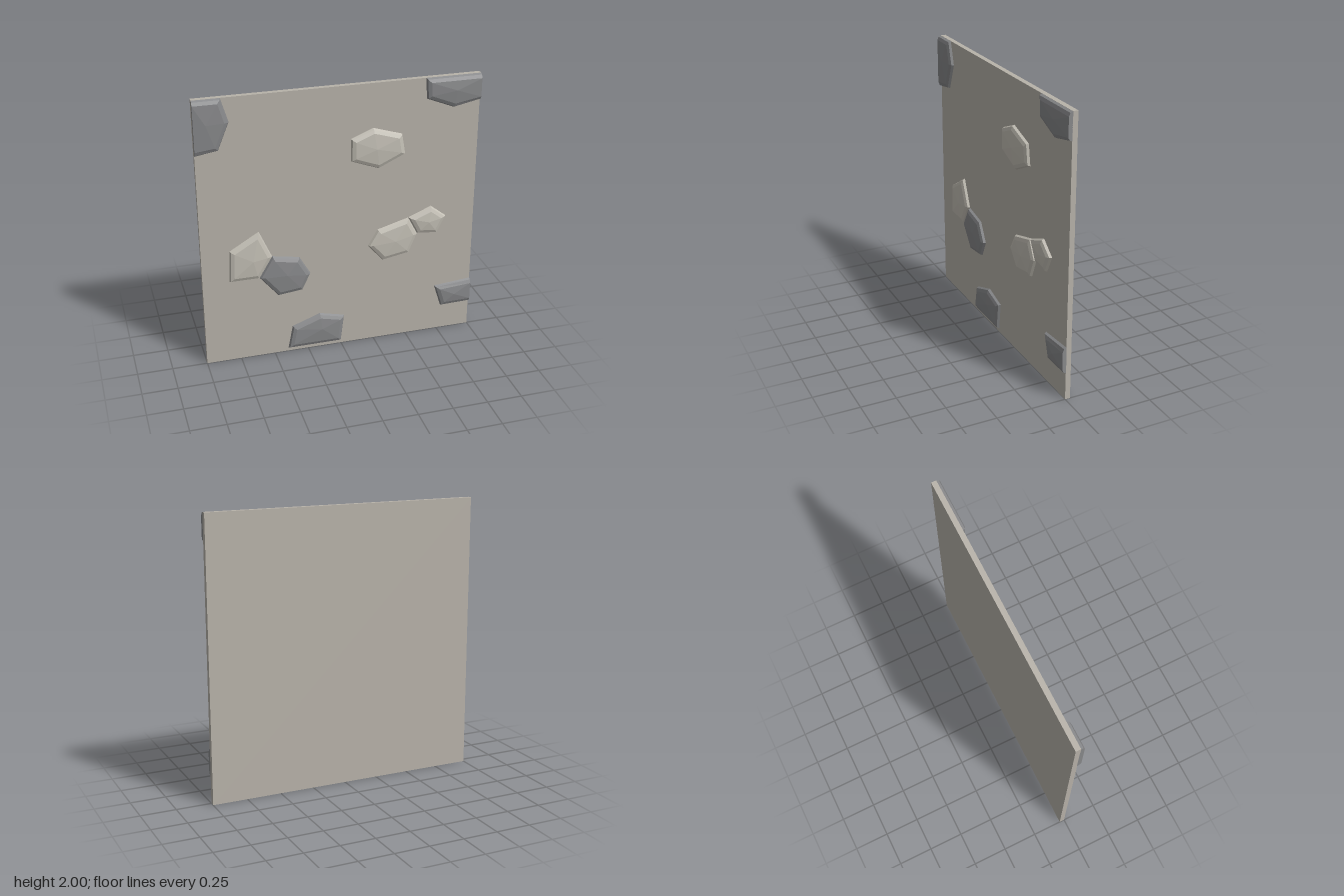
import * as THREE from 'three';

const mat = (name, color) => {
  const m = new THREE.MeshStandardMaterial({ color, flatShading: true });
  m.name = name;
  return m;
};

// Inset a clockwise outline by d; points on the slab's side edges stay on them.
function inset(pts, d) {
  const n = pts.length;
  const normal = (a, b) => {
    const l = Math.hypot(b[0] - a[0], b[1] - a[1]);
    return [(b[1] - a[1]) / l, -(b[0] - a[0]) / l];
  };
  return pts.map((p, i) => {
    const n1 = normal(pts[(i + n - 1) % n], p);
    const n2 = normal(p, pts[(i + 1) % n]);
    const k = d / (1 + n1[0] * n2[0] + n1[1] * n2[1]);
    const x = Math.abs(p[0]) === 1 ? p[0] : p[0] + (n1[0] + n2[0]) * k;
    return [x, p[1] + (n1[1] + n2[1]) * k];
  });
}

// Steep rim, sloped bevel and a shallow faceted crown.
function stoneGeometry(outline, peak) {
  const levels = [[0, -0.002], [0.009, 0.017], [0.032, 0.027]];
  const rings = levels.map(([d, z]) => inset(outline, d).map(([x, y]) => [x, y, z]));
  const apex = [...peak, 0.036];
  const n = outline.length;
  const pos = [];
  for (let i = 0; i < n; i++) {
    const j = (i + 1) % n;
    for (let r = 0; r < 2; r++) {
      const a = rings[r][i], b = rings[r][j], c = rings[r + 1][j], d = rings[r + 1][i];
      pos.push(...a, ...c, ...b, ...a, ...d, ...c);
    }
    pos.push(...rings[2][i], ...apex, ...rings[2][j]);
  }
  const g = new THREE.BufferGeometry();
  g.setAttribute('position', new THREE.Float32BufferAttribute(pos, 3));
  g.computeVertexNormals();
  return g;
}

export function createModel() {
  const group = new THREE.Group();
  group.name = 'stoneWall';
  const slabMat = mat('warm grey plaster', 0xb8b3aa);
  const lightMat = mat('light stone', 0xc4c0b6);
  const darkMat = mat('dark stone', 0x88898b);

  // Backing slab
  const slab = new THREE.Mesh(new THREE.BoxGeometry(2, 2, 0.037), slabMat);
  slab.position.set(0, 1, -0.0185);
  slab.name = 'wallSlab';
  group.add(slab);

  // Stones: name, material, peak, clockwise outline
  const stones = [
    ['topLeftStone', darkMat, [-0.92, 1.83],
      [[-1, 2], [-0.81, 2], [-0.76, 1.83], [-0.84, 1.635], [-1, 1.61]]],
    ['topRightStone', darkMat, [0.82, 1.9],
      [[0.6, 2], [1, 2], [1, 1.81], [0.81, 1.77], [0.61, 1.85]]],
    ['upperStone', lightMat, [0.25, 1.53],
      [[0.23, 1.68], [0.44, 1.615], [0.465, 1.465], [0.27, 1.375], [0.07, 1.45], [0.07, 1.615]]],
    ['leftLightStone', lightMat, [-0.64, 0.79],
      [[-0.59, 1.005], [-0.5, 0.8], [-0.595, 0.64], [-0.81, 0.64], [-0.8, 0.88]]],
    ['leftDarkStone', darkMat, [-0.4, 0.645],
      [[-0.5, 0.8], [-0.305, 0.765], [-0.225, 0.625], [-0.285, 0.5], [-0.465, 0.48], [-0.595, 0.64]]],
    ['rightLargeStone', lightMat, [0.4, 0.8],
      [[0.27, 0.9], [0.5, 0.965], [0.57, 0.83], [0.51, 0.685], [0.31, 0.65], [0.2, 0.78]]],
    ['rightSmallStone', lightMat, [0.65, 0.92],
      [[0.67, 1.035], [0.785, 0.945], [0.72, 0.815], [0.57, 0.83], [0.5, 0.965]]],
    ['bottomStone', darkMat, [-0.15, 0.16],
      [[-0.365, 0.205], [-0.16, 0.28], [0.025, 0.235], [0, 0.025], [-0.4, 0.025]]],
    ['bottomRightStone', darkMat, [0.87, 0.29],
      [[0.72, 0.37], [1, 0.395], [1, 0.2], [0.775, 0.195]]],
  ];
  for (const [name, material, peak, outline] of stones) {
    const mesh = new THREE.Mesh(stoneGeometry(outline, peak), material);
    mesh.name = name;
    group.add(mesh);
  }
  return group;
}
